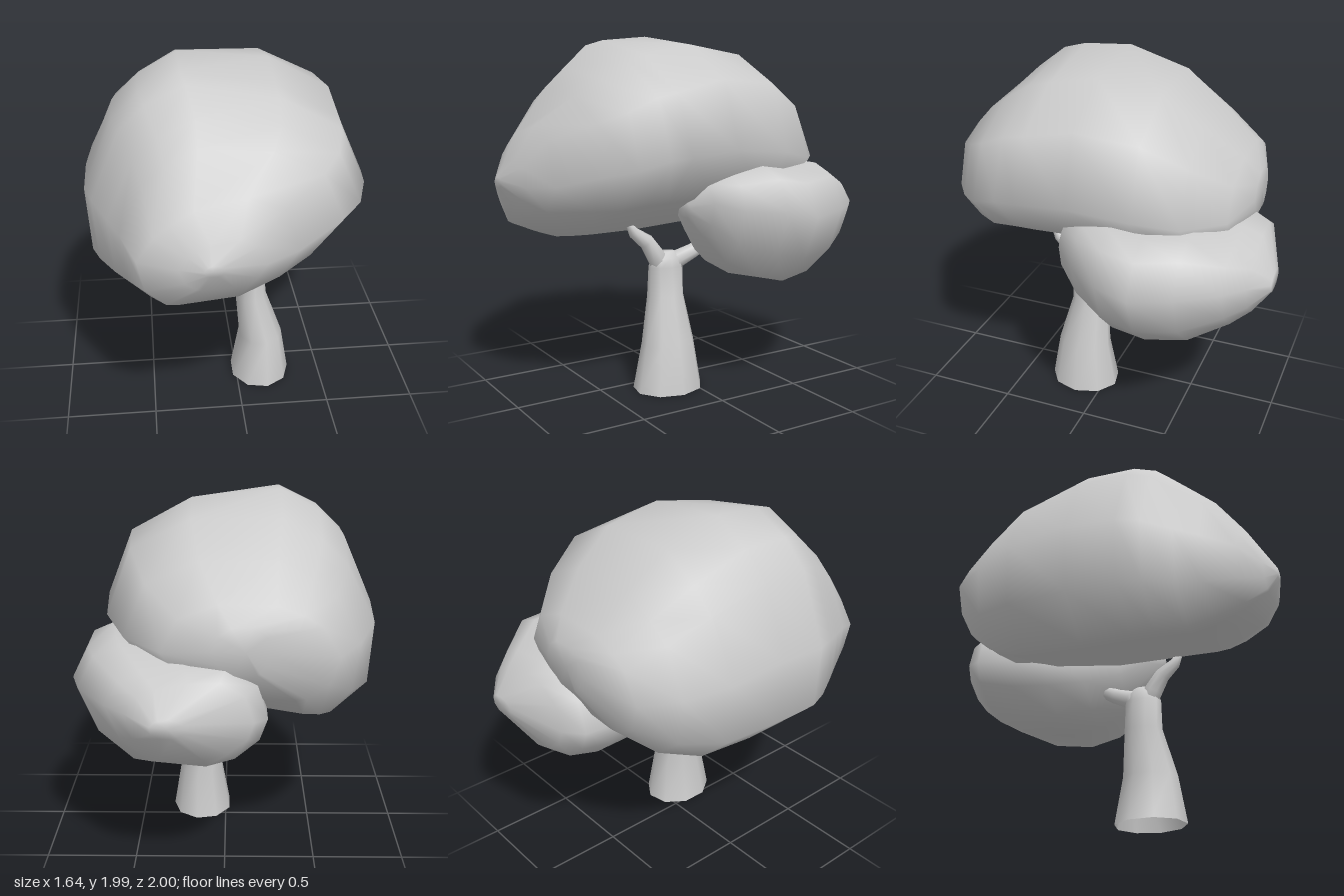
import * as THREE from 'three';

const material = new THREE.MeshStandardMaterial({ color: 0xcccccc });
const openMaterial = new THREE.MeshStandardMaterial({ color: 0xcccccc, side: THREE.DoubleSide });

// Skin a stack of equal-length rings; the far end is closed, the near end optionally open
function loft(name, rings, openStart = false) {
  const n = rings[0].length;
  const pts = rings.flat();
  const index = [];
  for (let r = 0; r < rings.length - 1; r++) {
    for (let i = 0; i < n; i++) {
      const a = r * n + i, b = r * n + (i + 1) % n;
      index.push(a, b, b + n, a, b + n, a + n);
    }
  }
  const addCap = (ring, offset, flip) => {
    const mid = ring.reduce((s, p) => s.add(p), new THREE.Vector3()).divideScalar(n);
    const c = pts.push(mid) - 1;
    for (let i = 0; i < n; i++) {
      const a = offset + i, b = offset + (i + 1) % n;
      index.push(c, flip ? b : a, flip ? a : b);
    }
  };
  if (!openStart) addCap(rings[0], 0, true);
  addCap(rings[rings.length - 1], (rings.length - 1) * n, false);
  const geo = new THREE.BufferGeometry().setFromPoints(pts);
  geo.setIndex(index);
  geo.computeVertexNormals();
  const mesh = new THREE.Mesh(geo, openStart ? openMaterial : material);
  mesh.name = name;
  return mesh;
}

// Foliage mass: one outline (counter-clockwise, -1..1) fitted to the box
// [z, xMin, xMax, yMin, yMax, tilt of the top] of each station, from back
// to front, and growing rounder towards both ends
function foliage(name, outline, stations) {
  const z0 = stations[0][0], z1 = stations[stations.length - 1][0];
  return loft(name, stations.map(([z, x0, x1, y0, y1, tilt = 0]) => {
    const round = 0.8 * Math.pow((2 * z - z0 - z1) / (z1 - z0), 4);
    return outline.map(([u, v]) => {
      const k = 1 + round * (1 / Math.hypot(u, v) - 1);
      return new THREE.Vector3(
        (x0 + x1) / 2 + u * k * (x1 - x0) / 2,
        (y0 + y1) / 2 + v * k * (y1 - y0) / 2 + tilt * u * Math.max(v, 0),
        z);
    });
  }));
}

// Round limb through points [x, y, z, radius]
function limb(name, path, sides = 8) {
  const p = path.map(([x, y, z]) => new THREE.Vector3(x, y, z));
  return loft(name, path.map(([, , , radius], k) => {
    const dir = p[Math.min(k + 1, p.length - 1)].clone().sub(p[Math.max(k - 1, 0)]).normalize();
    const side = new THREE.Vector3(1, 0, 0).addScaledVector(dir, -dir.x).normalize();
    const up = dir.clone().cross(side);
    return Array.from({ length: sides }, (_, i) => {
      const a = i / sides * Math.PI * 2;
      return p[k].clone().addScaledVector(side, radius * Math.cos(a)).addScaledVector(up, radius * Math.sin(a));
    });
  }));
}

export function createModel() {
  const tree = new THREE.Group();
  tree.name = 'tree';

  // Large canopy, underside rising towards +x
  tree.add(foliage('largeCanopy', [
    [1, 0.02], [0.81, 0.62], [0.36, 0.92], [-0.3, 1], [-0.59, 0.8], [-0.78, 0.57],
    [-1, -0.05], [-0.97, -0.67], [-0.7, -1], [-0.54, -0.98], [0.22, -0.73], [0.68, -0.43],
  ], [
    [-0.82, -0.24, 0.06, 1.2, 1.46],
    [-0.74, -0.58, 0.32, 1.03, 1.56, 0.03],
    [-0.55, -0.7, 0.52, 0.88, 1.74, 0.05],
    [-0.32, -0.8, 0.63, 0.81, 1.91, 0.06],
    [0.02, -0.82, 0.66, 0.79, 1.99],
    [0.3, -0.82, 0.66, 0.79, 1.95, -0.06],
    [0.42, -0.78, 0.65, 0.8, 1.92, -0.06],
    [0.57, -0.7, 0.6, 0.82, 1.81, -0.03],
    [0.69, -0.64, 0.49, 0.86, 1.71],
    [0.86, -0.56, 0.24, 0.93, 1.5, 0.12],
    [0.95, -0.36, 0.07, 1.07, 1.34, 0.04],
    [1, -0.24, -0.14, 1.18, 1.24],
  ]));

  // Small canopy at the back
  tree.add(foliage('smallCanopy', [
    [1, 0.31], [0.82, 0.83], [0.53, 1], [0, 1], [-0.5, 0.95], [-0.88, 0.58],
    [-1, 0], [-0.9, -0.43], [-0.6, -0.83], [-0.24, -1], [0.43, -0.89], [0.8, -0.4],
  ], [
    [-1, 0.18, 0.36, 0.95, 1.05],
    [-0.9, -0.15, 0.5, 0.79, 1.2, -0.04],
    [-0.8, -0.22, 0.6, 0.71, 1.24, -0.04],
    [-0.6, -0.22, 0.76, 0.62, 1.29],
    [-0.38, -0.2, 0.82, 0.6, 1.27],
    [-0.2, -0.07, 0.8, 0.65, 1.3],
    [-0.02, 0.06, 0.67, 0.75, 1.26],
    [0.1, 0.18, 0.56, 0.91, 1.23],
    [0.16, 0.3, 0.42, 1.02, 1.11],
  ]));

  // Flared, bent trunk, open at the ground: [y, x, z, half width, half depth]
  const sides = 9;
  tree.add(loft('trunk', [
    [0, 0.143, 0.135, 0.176, 0.206],
    [0.27, 0.146, 0.135, 0.129, 0.158],
    [0.53, 0.09, 0.118, 0.092, 0.11],
    [0.7, 0.092, 0.118, 0.074, 0.106],
    [0.75, 0.092, 0.115, 0.062, 0.09],
    [0.785, 0.09, 0.115, 0.035, 0.05],
  ].map(([y, x, z, rx, rz]) => Array.from({ length: sides }, (_, i) => {
    const a = i / sides * Math.PI * 2;
    return new THREE.Vector3(x + rx * Math.cos(a), y, z - rz * Math.sin(a));
  })), true));

  // Forked branches reaching into the two canopies
  tree.add(limb('frontBranch', [
    [0.09, 0.66, 0.145, 0.045], [0.09, 0.76, 0.18, 0.056],
    [0.085, 0.85, 0.24, 0.045], [0.08, 0.91, 0.32, 0.032], [0.08, 0.955, 0.345, 0.02],
  ]));
  tree.add(limb('backBranch', [
    [0.09, 0.66, 0.1, 0.045], [0.095, 0.73, 0.05, 0.056],
    [0.11, 0.77, -0.05, 0.045], [0.13, 0.83, -0.16, 0.035],
  ]));
  return tree;
}
